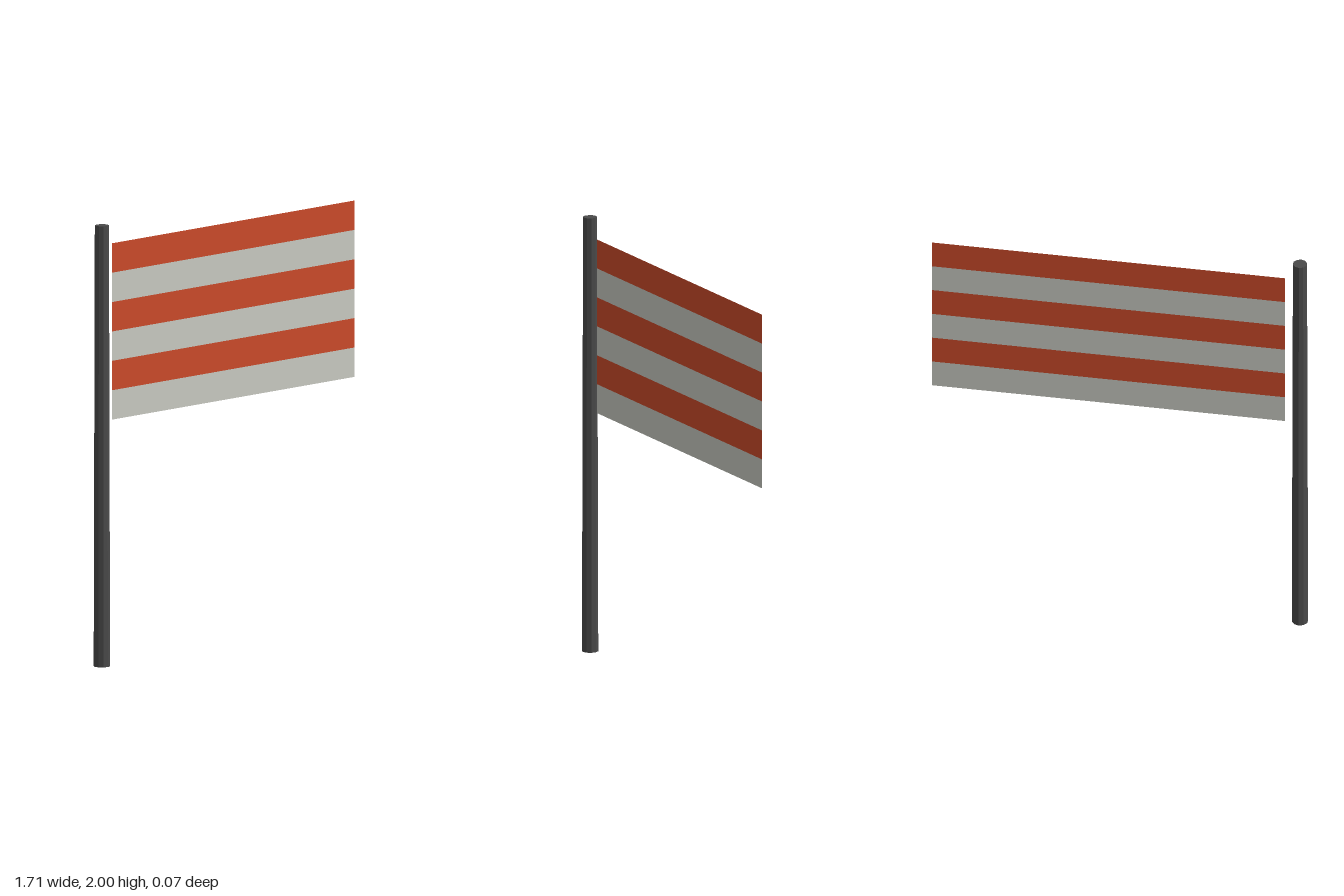
import * as THREE from 'three';

function paint(name, color, extra = {}) {
  const m = new THREE.MeshStandardMaterial({ color, ...extra });
  m.name = name;
  return m;
}

export function createModel() {
  const group = new THREE.Group();
  group.name = 'stripedFlag';

  const red = paint('flag red', 0xcc4a2a, { side: THREE.DoubleSide });
  const pale = paint('pale grey', 0xc9cac2, { side: THREE.DoubleSide });
  const dark = paint('dark grey', 0x4a4a4a, { flatShading: true });

  // slightly tapered ten-sided pole
  const pole = new THREE.Mesh(new THREE.CylinderGeometry(0.032, 0.037, 2, 10), dark);
  pole.name = 'pole';
  pole.position.set(-0.818, 1, 0);
  group.add(pole);

  // flat flag of six alternating stripes, top to bottom
  const flag = new THREE.Group();
  flag.name = 'flag';
  const left = -0.75, right = 0.853, top = 1.91, stripes = 6;
  const stripeHeight = 0.8 / stripes;
  for (let i = 0; i < stripes; i++) {
    const stripe = new THREE.Mesh(
      new THREE.PlaneGeometry(right - left, stripeHeight),
      i % 2 ? pale : red
    );
    stripe.name = 'stripe' + (i + 1);
    stripe.position.set((left + right) / 2, top - (i + 0.5) * stripeHeight, 0);
    flag.add(stripe);
  }
  group.add(flag);

  return group;
}
